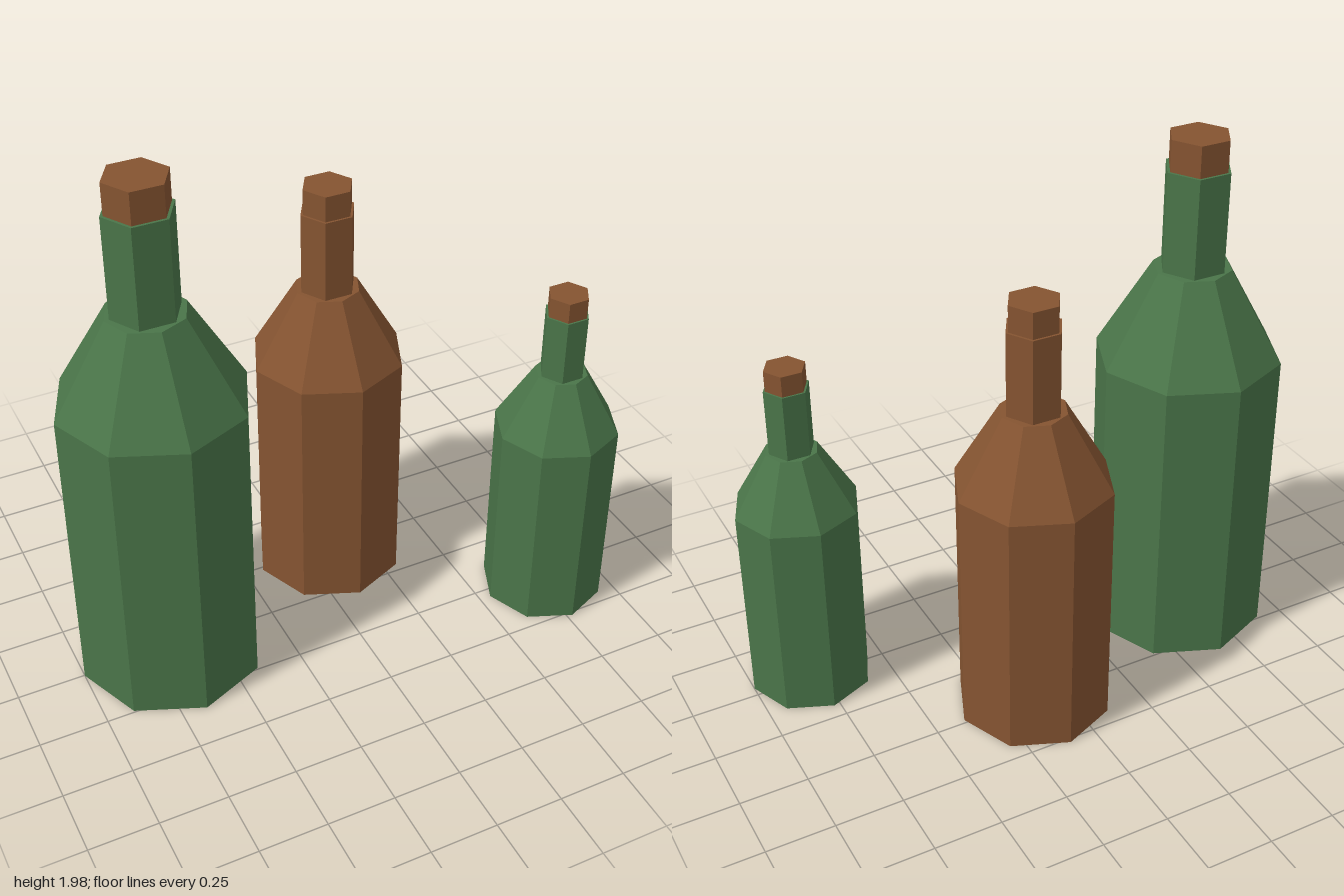
import * as THREE from 'three';

const green = new THREE.MeshStandardMaterial({ name: 'greenGlass', color: 0x4a7549 });
const brown = new THREE.MeshStandardMaterial({ name: 'brown', color: 0x855431 });
green.flatShading = brown.flatShading = true;

// One faceted segment standing between two heights
function segment(name, rTop, rBottom, y0, y1, sides, material, open = false) {
  const geometry = new THREE.CylinderGeometry(rTop, rBottom, y1 - y0, sides, 1, open);
  // hexagons point along x, octagons already do
  if (sides === 6) geometry.rotateY(Math.PI / 2);
  geometry.translate(0, (y0 + y1) / 2, 0);
  const mesh = new THREE.Mesh(geometry, material);
  mesh.name = name;
  return mesh;
}

// Eight-sided bottle body and shoulder, six-sided neck and cork
function bottle(name, glass, x, z, scale) {
  const group = new THREE.Group();
  group.name = name;
  group.add(
    segment('body', 0.341, 0.341, 0, 1.145, 8, glass),
    segment('shoulder', 0.142, 0.341, 1.145, 1.488, 8, glass),
    segment('neck', 0.124, 0.124, 1.488, 1.86, 6, glass),
    segment('cork', 0.113, 0.113, 1.86, 1.975, 6, brown)
  );
  group.scale.setScalar(scale);
  group.position.set(x, 0, z);
  return group;
}

export function createModel() {
  const model = new THREE.Group();
  model.name = 'bottles';
  model.add(
    bottle('largeBottle', green, -0.659, 0.002, 1),
    bottle('mediumBottle', brown, 0.103, -0.235, 0.833),
    bottle('smallBottle', green, 0.772, 0.289, 0.667)
  );
  return model;
}
